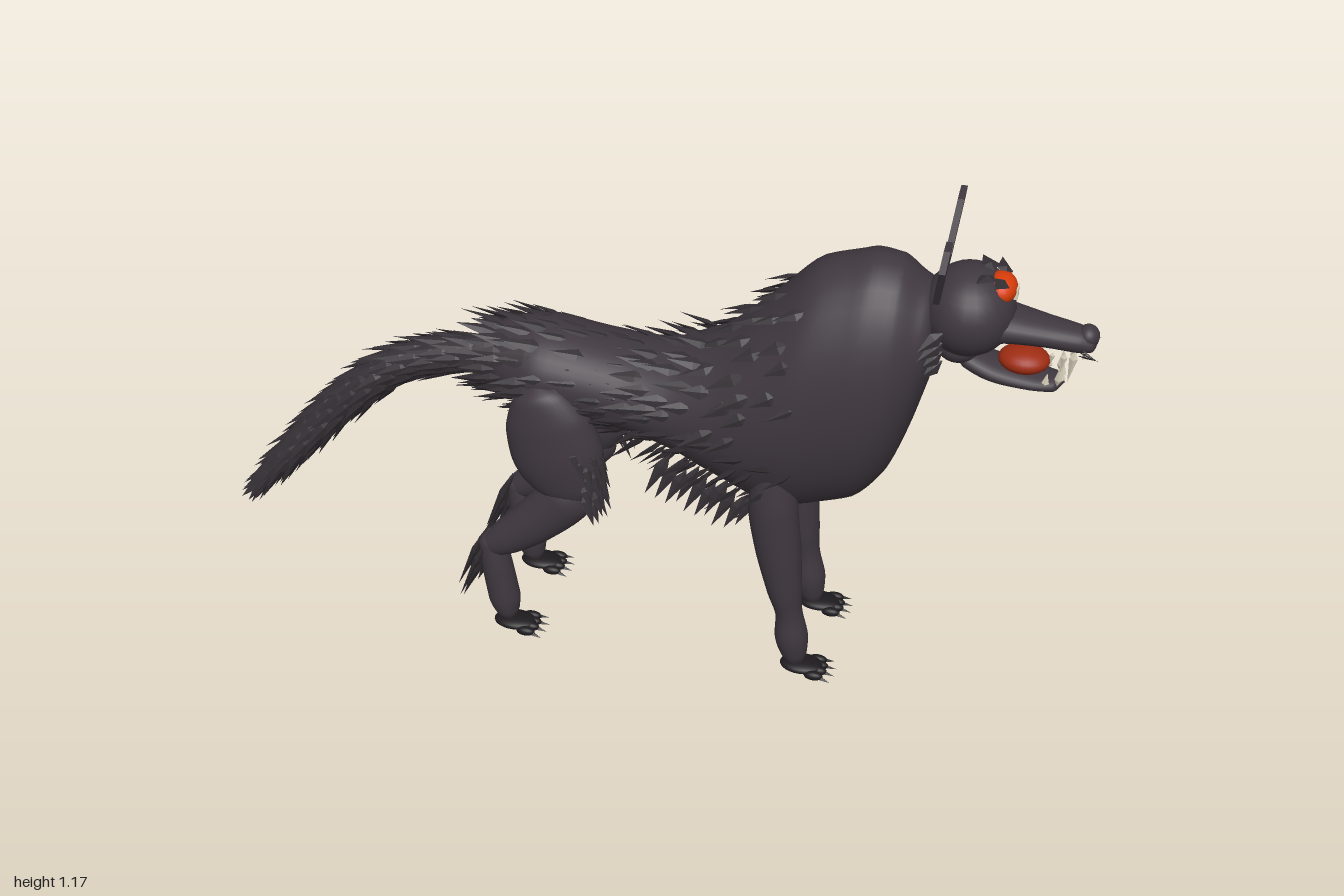
import * as THREE from 'three';
import { mergeGeometries } from 'three/addons/utils/BufferGeometryUtils.js';

const mat = (name, color, extra = {}) => Object.assign(new THREE.MeshStandardMaterial({ color, ...extra }), { name });
const V = (x, y, z) => new THREE.Vector3(x, y, z);

export function createModel() {
  const model = new THREE.Group();
  model.name = 'wolfBeast';
  const hide = mat('hide', 0x3f383f);
  const fur = mat('fur', 0x342f34);
  const claw = mat('claw', 0x1e1b1e);
  const eyeRed = mat('eyeOrange', 0xd83c0a);
  const mouthRed = mat('mouthRed', 0x9e2c12);
  const ivory = mat('ivory', 0xd9d2bd);

  let seed = 7;
  const rand = () => { seed = (seed * 16807) % 2147483647; return seed / 2147483647; };
  const jitter = (s) => (rand() - 0.5) * 2 * s;

  const add = (name, geo, material, parent = model) => {
    const m = new THREE.Mesh(geo, material);
    m.name = name;
    parent.add(m);
    return m;
  };

  // smooth loft through sections [x, y, halfHeight, halfWidth] lying at depth z
  function loft(sections, z = 0, upright = false, rings = 40, sides = 28) {
    const path = new THREE.CatmullRomCurve3(sections.map((s) => V(s[0], s[1], z)));
    const size = new THREE.CatmullRomCurve3(sections.map((s) => V(s[2], s[3], 0)));
    const sample = (u, a) => {
      const c = path.getPoint(u), s = size.getPoint(u);
      const t = upright ? V(1, 0, 0) : path.getTangent(u);
      const n = V(-t.y, t.x, 0);
      const out = n.clone().multiplyScalar(Math.cos(a)).add(V(0, 0, Math.sin(a)));
      const p = c.addScaledVector(n, Math.max(s.x, 0.001) * Math.cos(a));
      p.z += Math.max(s.y, 0.001) * Math.sin(a);
      return { p, out, t };
    };
    const pos = [], idx = [];
    for (let i = 0; i <= rings; i++) {
      for (let j = 0; j < sides; j++) pos.push(...sample(i / rings, (j / sides) * Math.PI * 2).p.toArray());
    }
    for (let i = 0; i < rings; i++) {
      for (let j = 0; j < sides; j++) {
        const a = i * sides + j, b = i * sides + ((j + 1) % sides);
        idx.push(a, b, a + sides, b, b + sides, a + sides);
      }
    }
    const geo = new THREE.BufferGeometry();
    geo.setAttribute('position', new THREE.Float32BufferAttribute(pos, 3));
    geo.setIndex(idx);
    geo.computeVertexNormals();
    return { geo, sample };
  }

  // faceted leaf-shaped spike from p along dir, flat towards out
  function spike(p, dir, out, len, w, thick = 0.35, belly = 0.35) {
    const g = new THREE.OctahedronGeometry(1);
    const a = g.attributes.position;
    for (let i = 0; i < a.count; i++) {
      const y = a.getY(i);
      a.setY(i, y < -0.5 ? 0 : y > 0.5 ? 1 : belly);
    }
    const d = dir.clone().normalize();
    const x = d.clone().cross(out).normalize();
    const n = x.clone().cross(d);
    g.scale(w, len, w * thick);
    g.applyMatrix4(new THREE.Matrix4().makeBasis(x, d, n).setPosition(p));
    g.computeVertexNormals();
    return g;
  }
  const ball = (x, y, z, rx, ry, rz) => new THREE.SphereGeometry(1, 24, 16).scale(rx, ry, rz).translate(x, y, z);

  // torso: rump, waist, deep chest and neck
  const torso = loft([
    [-0.36, 0.70, 0, 0], [-0.345, 0.70, 0.05, 0.05], [-0.30, 0.69, 0.085, 0.09], [-0.2, 0.685, 0.105, 0.125],
    [-0.1, 0.672, 0.103, 0.125], [0, 0.66, 0.102, 0.128], [0.1, 0.65, 0.125, 0.14], [0.2, 0.65, 0.18, 0.16],
    [0.3, 0.675, 0.255, 0.178], [0.4, 0.725, 0.305, 0.182], [0.5, 0.76, 0.305, 0.176], [0.57, 0.80, 0.26, 0.158],
    [0.61, 0.84, 0.19, 0.13], [0.645, 0.89, 0.11, 0.095], [0.66, 0.90, 0, 0],
  ], 0, true, 70, 36);
  add('torso', torso.geo, hide);

  // coat: rows of tufts swept back over back, flanks and belly
  const coat = [];
  for (let i = 0; i < 17; i++) {
    for (let j = 0; j < 18; j++) {
      const a = ((j + (i % 2) * 0.5) / 18) * Math.PI * 2 + jitter(0.1);
      const u = 0.13 + i * 0.0315 + jitter(0.012);
      const top = Math.cos(a);
      if (u > 0.57 && top > -0.2 && top < 0.1) continue;
      if (u > 0.62 && top > 0.85) continue;
      const { p, out } = torso.sample(u, a);
      const lift = top < -0.4 && u > 0.36 ? 0.75 : Math.abs(top) < 0.75 ? 0.13 : 0.25;
      const dir = V(-1, u > 0.5 && top > 0 ? -0.6 : -0.05, 0).addScaledVector(out, lift + jitter(0.06));
      coat.push(spike(p.addScaledVector(out, -0.006), dir, out, 0.075 + rand() * 0.03, 0.013 + rand() * 0.004));
    }
  }
  add('coatTufts', mergeGeometries(coat), fur);

  // tail: core covered by overlapping rings of tufts
  const tail = loft([[-0.30, 0.69, 0.04, 0.04], [-0.42, 0.672, 0.042, 0.042], [-0.55, 0.625, 0.043, 0.043],
    [-0.67, 0.53, 0.042, 0.042], [-0.78, 0.41, 0.038, 0.038], [-0.88, 0.29, 0.02, 0.02], [-0.92, 0.24, 0, 0]]);
  add('tail', tail.geo, fur);
  const tailFur = [];
  for (let i = 0; i < 21; i++) {
    for (let j = 0; j < 9; j++) {
      const { p, out, t } = tail.sample(0.06 + i * 0.043, ((j + (i % 2) * 0.5) / 9) * Math.PI * 2);
      const dir = t.clone().addScaledVector(out, 0.2 + jitter(0.06));
      tailFur.push(spike(p.addScaledVector(out, -0.008), dir, out, 0.09 + rand() * 0.02, 0.017));
    }
  }
  add('tailTufts', mergeGeometries(tailFur), fur);

  // head and muzzle
  const head = new THREE.Group();
  head.name = 'head';
  model.add(head);
  add('skull', ball(0.715, 0.96, 0, 0.1, 0.1, 0.108), hide, head);
  add('muzzle', loft([[0.74, 0.94, 0.06, 0.075], [0.8, 0.937, 0.038, 0.062], [0.88, 0.928, 0.03, 0.048],
    [0.95, 0.918, 0.027, 0.037], [0.98, 0.912, 0.018, 0.026], [0.988, 0.912, 0, 0]]).geo, hide, head);
  add('nose', ball(0.967, 0.928, 0, 0.024, 0.025, 0.027), hide, head);
  add('lowerJaw', loft([[0.70, 0.855, 0, 0], [0.72, 0.845, 0.022, 0.04], [0.78, 0.823, 0.024, 0.05],
    [0.86, 0.81, 0.02, 0.047], [0.91, 0.806, 0.017, 0.035], [0.93, 0.806, 0, 0]]).geo, hide, head);
  add('throat', ball(0.7, 0.875, 0, 0.05, 0.04, 0.06), hide, head);
  add('tongue', ball(0.84, 0.852, 0, 0.055, 0.028, 0.047), mouthRed, head);

  // single eye with pale pupil
  add('eye', ball(0.778, 1.02, 0, 0.034, 0.032, 0.046), eyeRed, head);
  add('pupil', new THREE.BoxGeometry(0.008, 0.026, 0.026).translate(0.81, 1.014, 0), ivory, head);

  const teeth = [], headTufts = [], whiskers = [];
  for (const s of [1, -1]) {
    // ear: thin faceted plate leaning slightly forward
    const pts = [[0.1, 1.02], [0.162, 1.13], [0.14, 1.172], [0.09, 1.166], [0.035, 1.06], [0.055, 1.02]];
    const ear = new THREE.ExtrudeGeometry(new THREE.Shape(pts.map(([z, y]) => new THREE.Vector2(z * s, y))),
      { depth: 0.014, bevelEnabled: false });
    ear.rotateY(-Math.PI / 2);
    const a = ear.attributes.position;
    for (let i = 0; i < a.count; i++) a.setX(i, a.getX(i) + 0.662 + (a.getY(i) - 1.03) * 0.12);
    ear.computeVertexNormals();
    add('ear', ear, hide, head);

    // brow spikes over the eye and cheek ruff
    headTufts.push(spike(V(0.785, 1.043, s * 0.008), V(-0.25, 0.18, s), V(0.4, 1, 0), 0.062, 0.019, 0.5));
    headTufts.push(spike(V(0.76, 1.052, s * 0.01), V(-0.6, 0.1, s), V(0, 1, 0), 0.06, 0.02, 0.4));
    for (let k = 0; k < 4; k++) {
      headTufts.push(spike(V(0.675, 0.95 - k * 0.028, s * (0.094 - k * 0.008)), V(-0.8, -0.6, s * 0.5), V(0, 0, s), 0.07, 0.017));
    }
    // upper and lower teeth
    for (const [x, z, len, w] of [[0.945, 0.026, 0.08, 0.009], [0.925, 0.038, 0.05, 0.007], [0.965, 0.012, 0.03, 0.006], [0.9, 0.042, 0.03, 0.006]]) {
      teeth.push(spike(V(x, 0.903, s * z), V(-0.12, -1, 0), V(0, 0, s), len, w, 0.9, 0.25));
    }
    for (const [x, z, len] of [[0.915, 0.03, 0.062], [0.89, 0.038, 0.035], [0.922, 0.012, 0.03]]) {
      teeth.push(spike(V(x, 0.812, s * z), V(0.1, 1, 0), V(0, 0, s), len, 0.008, 0.9, 0.25));
    }
    // short whiskers
    for (let k = 0; k < 3; k++) {
      whiskers.push(spike(V(0.95, 0.912 - k * 0.01, s * 0.026), V(1, -0.35 + k * 0.25, s * 0.5), V(0, 1, 0), 0.05, 0.0025, 1));
    }
  }
  add('teeth', mergeGeometries(teeth), ivory, head);
  add('browAndCheekTufts', mergeGeometries(headTufts), fur, head);
  add('whiskers', mergeGeometries(whiskers), claw, head);

  // paw: flat pad with four toes and claws
  function paw(name, x, z) {
    add(name, ball(x, 0.02, z, 0.05, 0.014, 0.034), claw);
    const toes = [], nails = [];
    for (let k = -1.5; k <= 1.5; k++) {
      toes.push(ball(x + 0.042 - Math.abs(k) * 0.006, 0.015, z + k * 0.02, 0.022, 0.011, 0.011));
      nails.push(spike(V(x + 0.05 - Math.abs(k) * 0.006, 0.014, z + k * 0.021), V(1, -0.2, k * 0.15), V(0, 1, 0), 0.034, 0.006, 0.8));
    }
    add(name + 'Toes', mergeGeometries(toes), claw);
    add(name + 'Claws', mergeGeometries(nails), claw);
  }

  for (const s of [1, -1]) {
    const z = s * 0.115;
    // front leg
    add('frontLeg', loft([[0.33, 0.55, 0.04, 0.04], [0.335, 0.45, 0.056, 0.05], [0.35, 0.34, 0.052, 0.048],
      [0.368, 0.23, 0.04, 0.042], [0.38, 0.165, 0.031, 0.034], [0.388, 0.1, 0.038, 0.039],
      [0.396, 0.05, 0.03, 0.03], [0.4, 0.02, 0.015, 0.015]], z).geo, hide);
    paw('frontPaw', 0.415, s * 0.118);

    // hind leg: thigh, shin and shank
    const thigh = loft([[-0.21, 0.70, 0, 0], [-0.2, 0.67, 0.06, 0.04], [-0.18, 0.60, 0.1, 0.056], [-0.16, 0.52, 0.108, 0.06],
      [-0.135, 0.44, 0.085, 0.052], [-0.13, 0.39, 0.04, 0.03], [-0.13, 0.37, 0, 0]], s * 0.11);
    add('thigh', thigh.geo, hide);
    add('shin', loft([[-0.11, 0.45, 0.03, 0.03], [-0.14, 0.40, 0.062, 0.048], [-0.21, 0.325, 0.056, 0.046],
      [-0.28, 0.265, 0.044, 0.04], [-0.32, 0.235, 0.03, 0.03], [-0.335, 0.22, 0, 0]], z).geo, hide);
    add('shank', loft([[-0.325, 0.28, 0, 0], [-0.32, 0.25, 0.03, 0.03], [-0.308, 0.17, 0.036, 0.037],
      [-0.295, 0.09, 0.037, 0.037], [-0.288, 0.05, 0.028, 0.03], [-0.285, 0.02, 0.012, 0.012]], z).geo, hide);
    paw('hindPaw', -0.27, s * 0.118);

    // tufts below the thigh, behind the hock and under the chest
    const tufts = [];
    for (let i = 0; i < 7; i++) {
      for (let j = 0; j < 3; j++) {
        const { p, out } = thigh.sample(0.42 + i * 0.05, Math.PI * (0.05 + j * 0.11) * s + jitter(0.1));
        tufts.push(spike(p.addScaledVector(out, -0.008), V(0.1, -1, 0).addScaledVector(out, 0.25), out, 0.075, 0.014));
      }
    }
    for (let k = 0; k < 7; k++) {
      tufts.push(spike(V(-0.325 - (k % 2) * 0.01, 0.285 - k * 0.014, z + s * ((k % 3) - 1) * 0.018),
        V(-0.42, -1, s * ((k % 3) - 1) * 0.12), V(-1, 0.3, 0), 0.2 - k * 0.014, 0.02, 0.5));
    }
    for (let k = 0; k < 10; k++) {
      tufts.push(spike(V(0.1 + k * 0.022, 0.56 - k * 0.008, s * (0.11 + (k % 3) * 0.016)),
        V(-0.5, -1, s * 0.12), V(0, 0, s), 0.1 + rand() * 0.03, 0.015));
    }
    add('legTufts', mergeGeometries(tufts), fur);
  }
  return model;
}
